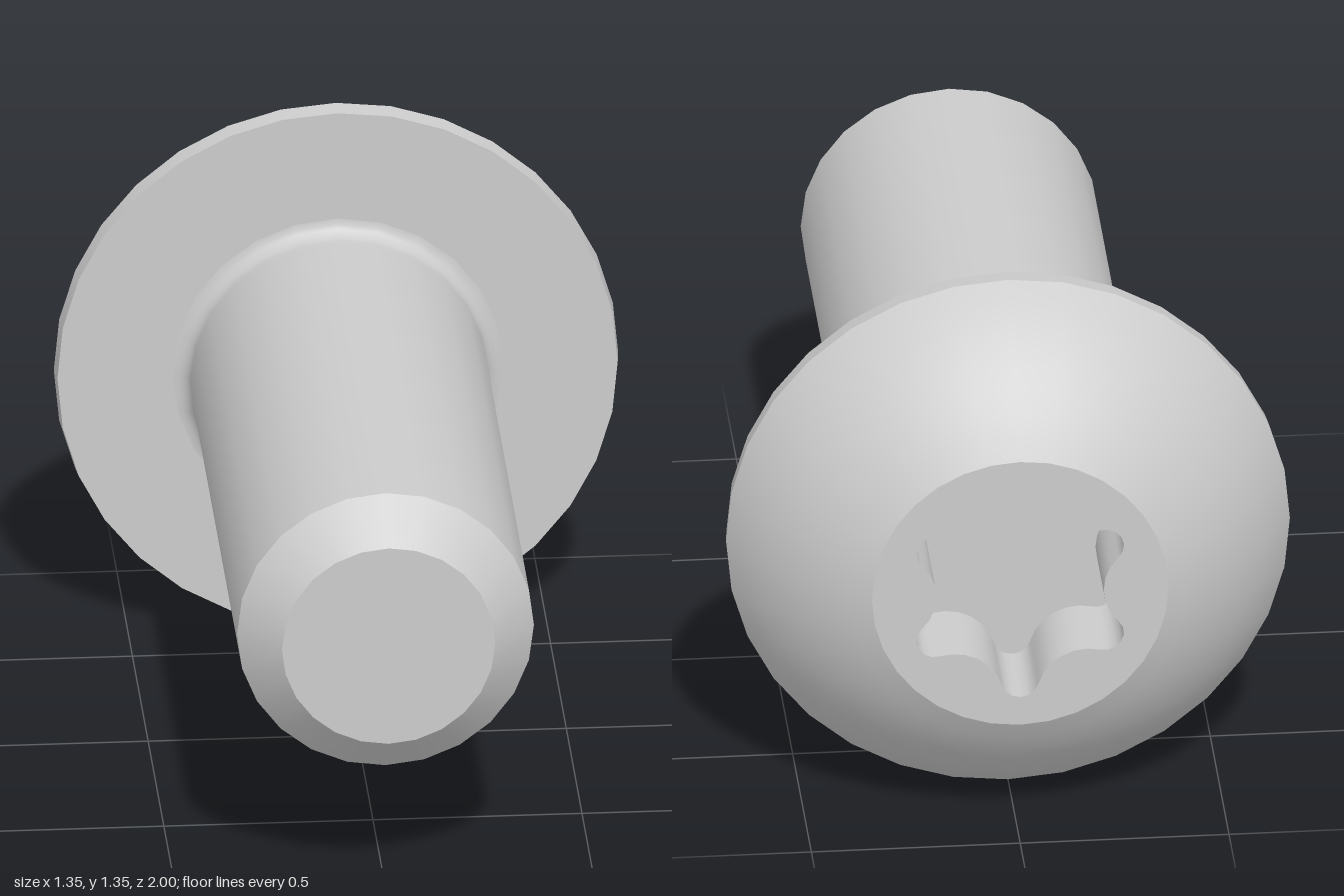
import * as THREE from 'three';

const AXIS_Y = 0.675;
const HEAD_SIDES = 32, SHANK_SIDES = 24;
const FACE_Z = -1, SOCKET_FLOOR_Z = -0.78, FACE_R = 0.355;
const material = new THREE.MeshStandardMaterial({ color: 0xcccccc });

const polar = (r, a, cx = 0, cy = 0) => new THREE.Vector2(cx + r * Math.cos(a), cy + r * Math.sin(a));

function part(name, geometry) {
  const mesh = new THREE.Mesh(geometry, material);
  mesh.name = name;
  return mesh;
}

// Turned surface about z; profile is [radius, z] from back to front
function turned(name, profile, sides) {
  const points = profile.map(([r, z]) => new THREE.Vector2(r, z));
  return part(name, new THREE.LatheGeometry(points, sides).rotateX(Math.PI / 2));
}

// Arc in the [radius, z] plane
function arc(cr, cz, radius, from, to, steps) {
  return Array.from({ length: steps + 1 }, (_, i) => {
    const p = polar(radius, from + (to - from) * i / steps, cr, cz);
    return [p.x, p.y];
  });
}

// Six-lobed outline: small outward arcs tangent to larger inward arcs
function lobedOutline() {
  const tipR = 0.045, tipD = 0.235, scoopR = 0.122, scoopD = 0.322;
  const tipHalf = 1.305, scoopHalf = tipHalf - Math.PI / 6, steps = 6;
  const points = [];
  for (let k = 0; k < 6; k++) {
    const a = Math.PI / 2 + k * Math.PI / 3, b = a + Math.PI / 6;
    const tip = polar(tipD, a), scoop = polar(scoopD, b);
    for (let i = 0; i <= steps; i++)
      points.push(polar(tipR, a + tipHalf * (2 * i / steps - 1), tip.x, tip.y));
    for (let i = 1; i < steps; i++)
      points.push(polar(scoopR, b + Math.PI + scoopHalf * (1 - 2 * i / steps), scoop.x, scoop.y));
  }
  return points;
}

// Socket wall: a strip bent round the outline, facing inward
function socketWall(outline) {
  const n = outline.length;
  const geometry = new THREE.PlaneGeometry(1, 1, n, 1);
  const pos = geometry.attributes.position;
  for (let i = 0; i < pos.count; i++) {
    const p = outline[(i % (n + 1)) % n];
    pos.setXYZ(i, p.x, p.y, i <= n ? FACE_Z : SOCKET_FLOOR_Z);
  }
  geometry.computeVertexNormals();
  return geometry;
}

// Flat shape turned to face the back
const backFacing = (shape, z) => new THREE.ShapeGeometry(shape).rotateY(Math.PI).translate(0, 0, z);

export function createModel() {
  const group = new THREE.Group();
  group.name = 'buttonHeadScrew';

  // Head: spherical dome, narrow rim and flat underside
  const head = new THREE.Group();
  head.name = 'head';
  const dome = arc(0, -0.33, 0.758, -1.084, -0.473, 8);
  dome[0] = [FACE_R, FACE_Z];
  dome[8] = [0.675, -0.675];
  head.add(
    turned('headDome', dome, HEAD_SIDES),
    turned('headRim', [[0.675, -0.675], [0.67, -0.625]], HEAD_SIDES),
    turned('headUnderside', [[0.67, -0.625], [0.385, -0.625]], HEAD_SIDES)
  );

  // Driving face with the six-lobed socket
  const outline = lobedOutline();
  const face = new THREE.Shape(
    Array.from({ length: HEAD_SIDES }, (_, i) => polar(FACE_R, i * 2 * Math.PI / HEAD_SIDES))
  );
  face.holes.push(new THREE.Path(outline));
  head.add(
    part('headFace', backFacing(face, FACE_Z)),
    part('socketWall', socketWall(outline)),
    part('socketFloor', backFacing(new THREE.Shape(outline), SOCKET_FLOOR_Z))
  );

  // Shank: fillet under the head, plain cylinder, chamfered tip
  const shank = new THREE.Group();
  shank.name = 'shank';
  const fillet = arc(0.395, -0.585, 0.04, -Math.PI / 2, -Math.PI, 5);
  shank.add(
    turned('shankBody', [...fillet, [0.355, -0.56], [0.355, 0.9]], SHANK_SIDES),
    turned('tipChamfer', [[0.355, 0.9], [0.255, 1]], SHANK_SIDES),
    turned('tipFace', [[0.255, 1], [0, 1]], SHANK_SIDES)
  );

  group.add(head, shank);
  group.children.forEach((child) => { child.position.y = AXIS_Y; });
  return group;
}
